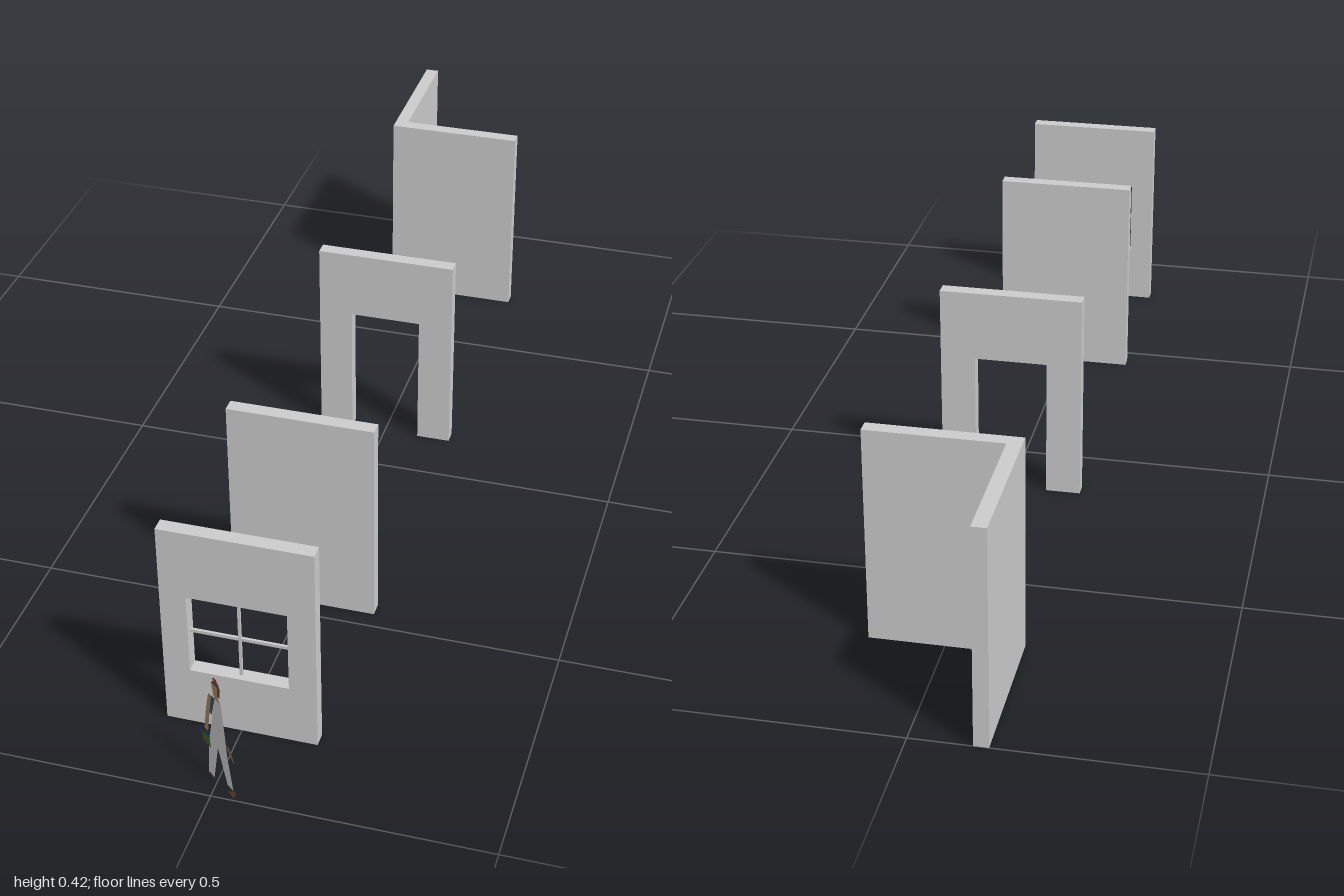
import * as THREE from 'three';

const W = 0.139, H = 0.417, T = 0.027;
const grey = new THREE.MeshStandardMaterial({ color: 0xcccccc, flatShading: true });

const vectors = (pts) => pts.map(([x, y]) => new THREE.Vector2(x, y));
const shapeOf = (pts) => new THREE.Shape(vectors(pts));
const rect = (x0, y0, x1, y1) => [[x0, y0], [x1, y0], [x1, y1], [x0, y1]];

function add(parent, name, geometry, x = 0, y = 0, z = 0, material = grey) {
  const mesh = new THREE.Mesh(geometry, material);
  mesh.name = name;
  mesh.position.set(x, y, z);
  parent.add(mesh);
}

// Upright slab of wall thickness, centred on z
function addWall(parent, name, shape, z) {
  const geometry = new THREE.ExtrudeGeometry(shape, { depth: T, bevelEnabled: false });
  add(parent, name, geometry.translate(0, 0, -T / 2), 0, 0, z);
}

// Flat strip following stations [x, y, width] from top to bottom, in 1/560 units,
// laid on the diagonal plane of the cut-out figure
function addStrip(parent, name, color, ...stations) {
  const left = stations.map(([x, y, w]) => [x - w / 2, y]);
  const right = stations.map(([x, y, w]) => [x + w / 2, y]).reverse();
  const geometry = new THREE.ShapeGeometry(shapeOf([...left, ...right])).scale(1 / 560, 1 / 560, 1);
  const p = geometry.attributes.position;
  for (let i = 0; i < p.count; i++) p.setZ(i, 0.9635 + 0.81 * p.getX(i));
  geometry.computeVertexNormals();
  const material = new THREE.MeshStandardMaterial({ color, side: THREE.DoubleSide });
  add(parent, name, geometry, 0, 0, 0, material);
}

// Walking worker, a flat cut-out
function createFigure() {
  const figure = new THREE.Group();
  figure.name = 'figure';
  const cloth = 0xcccccc, skin = 0xa8876a, hair = 0x6b4a35, blue = 0x1f3f7a, shoe = 0x70503a;

  // Overalls and shirt
  addStrip(figure, 'overallsBody', cloth, [6, 107, 8], [5, 76, 17], [3.5, 46, 25]);
  addStrip(figure, 'rightLeg', cloth, [-3, 46, 12], [-8, 1.5, 8]);
  addStrip(figure, 'leftLeg', cloth, [9.5, 46, 13], [18.5, 10, 8]);
  addStrip(figure, 'shirt', 0x3f5160, [-0.5, 107, 5], [-5, 82, 3]);

  // Head
  addStrip(figure, 'face', skin, [2, 124, 8], [3, 112, 6], [6, 107, 8]);
  addStrip(figure, 'hairTop', hair, [5, 130, 6], [4, 124, 12]);
  addStrip(figure, 'hairBack', hair, [8, 124, 4], [7.5, 113, 3]);
  addStrip(figure, 'headscarf', 0xb03040, [4, 133, 3], [3, 130, 7]);

  // Arms, with the bucket and brush carried on the right
  addStrip(figure, 'rightArm', skin, [-5, 106, 4], [-9, 82, 5], [-12.5, 55, 5]);
  addStrip(figure, 'rightGlove', blue, [-12.5, 55, 5], [-10, 48, 5]);
  addStrip(figure, 'bucket', 0x4a5a2a, [-14, 48, 11], [-12, 36, 10]);
  addStrip(figure, 'brush', blue, [-22, 50, 5], [-21, 44, 3]);
  addStrip(figure, 'leftHand', 0x8a7550, [17, 62, 3], [20, 55, 5], [25, 48, 2]);

  // Shoes
  addStrip(figure, 'leftShoe', shoe, [24.5, 10, 4], [18.5, 1, 9]);
  addStrip(figure, 'rightShoe', shoe, [-8, 1.5, 9], [-7.5, 0, 10]);
  return figure;
}

export function createModel() {
  const model = new THREE.Group();
  model.name = 'wallSet';

  // Window wall with a glazing cross set midway through the opening
  const windowWall = new THREE.Group();
  windowWall.name = 'windowWall';
  const x0 = -0.091, y0 = 0.118, x1 = 0.089, y1 = 0.28, zw = 0.819;
  const frame = shapeOf(rect(-W, 0, W, H));
  frame.holes.push(new THREE.Path(vectors(rect(x0, y0, x1, y1))));
  addWall(windowWall, 'windowWallPanel', frame, zw);
  const cx = (x0 + x1) / 2, cy = (y0 + y1) / 2;
  add(windowWall, 'verticalBar', new THREE.BoxGeometry(0.005, y1 - y0, 0.005), cx, cy, zw);
  add(windowWall, 'horizontalBar', new THREE.BoxGeometry(x1 - x0, 0.006, 0.005), cx, cy, zw);
  model.add(windowWall);

  // Plain wall
  addWall(model, 'plainWall', shapeOf(rect(-W, 0, W, H)), 0.452);

  // Doorway wall
  const d = 0.071, dh = 0.278;
  const doorway = shapeOf([[-W, 0], [-d, 0], [-d, dh], [d, dh], [d, 0], [W, 0], [W, H], [-W, H]]);
  addWall(model, 'doorwayWall', doorway, -0.134);

  // Corner wall: L-shaped plan raised to wall height
  const front = 0.698, back = front + T;
  const plan = shapeOf([[-W, front], [W, front], [W, back], [T - W, back], [T - W, 1], [-W, 1]]);
  const corner = new THREE.ExtrudeGeometry(plan, { depth: H, bevelEnabled: false });
  add(model, 'cornerWall', corner.rotateX(-Math.PI / 2));

  model.add(createFigure());
  return model;
}
